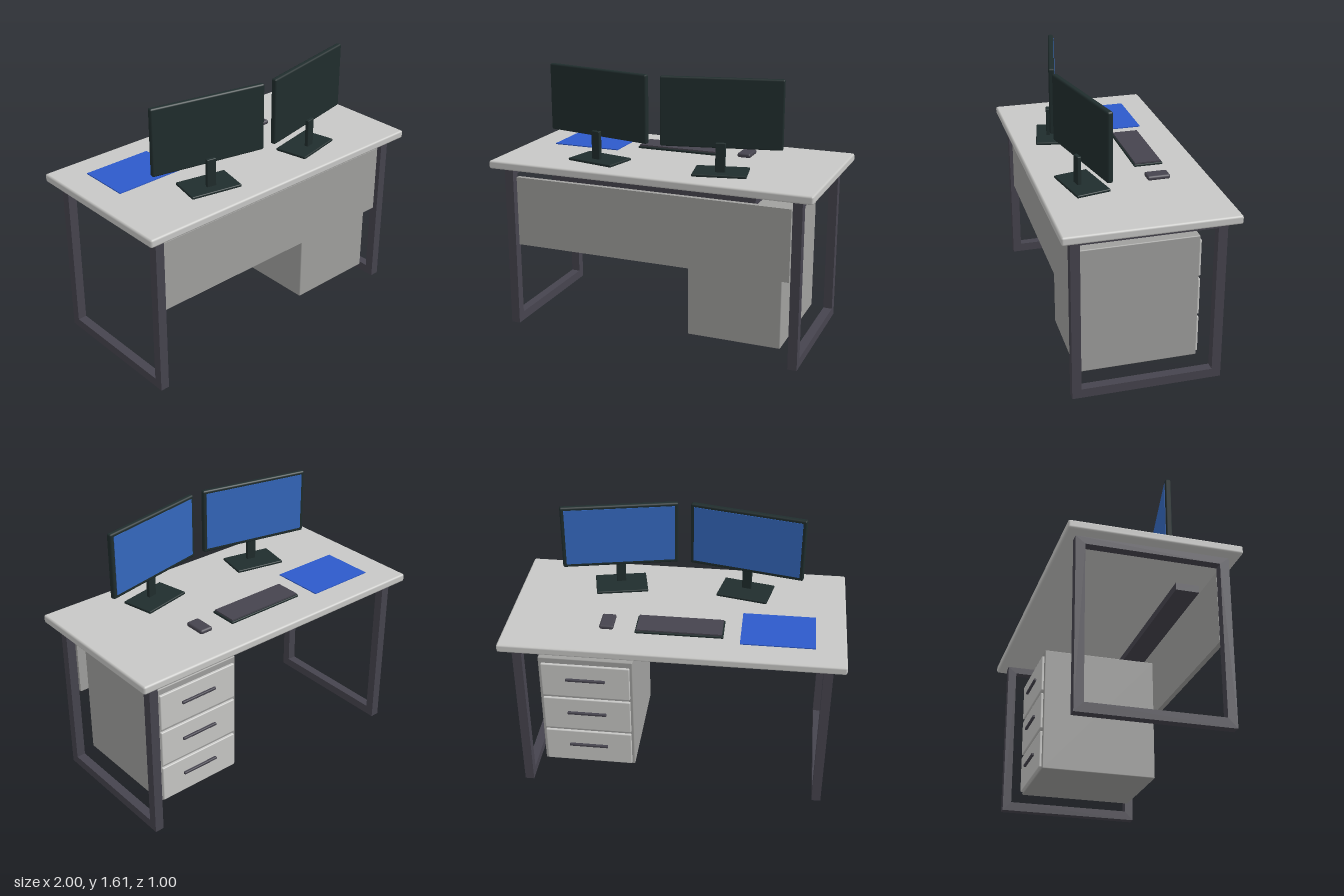
import * as THREE from 'three';
import { RoundedBoxGeometry } from 'three/addons/geometries/RoundedBoxGeometry.js';

const mat = (name, color) => {
  const m = new THREE.MeshStandardMaterial({ color });
  m.name = name;
  return m;
};

export function createModel() {
  const lightGrey = mat('light grey laminate', 0xc8c8c6);
  const midGrey = mat('mid grey panel', 0xa0a09e);
  const metal = mat('dark metal', 0x46444e);
  const black = mat('monitor black', 0x202d2d);
  const screenBlue = mat('screen blue', 0x3468be);
  const matBlue = mat('mat blue', 0x2d5acb);

  const desk = new THREE.Group();
  desk.name = 'officeDesk';

  // Box given by its centre and size, with optional softened edges
  function box(parent, name, material, [x, y, z], [w, h, d], bevel = 0) {
    const geo = bevel ? new RoundedBoxGeometry(w, h, d, 1, bevel) : new THREE.BoxGeometry(w, h, d);
    const mesh = new THREE.Mesh(geo, material);
    mesh.name = name;
    mesh.position.set(x, y, z);
    parent.add(mesh);
    return mesh;
  }

  // Worktop
  box(desk, 'worktop', lightGrey, [0, 1.035, 0], [2, 0.05, 1], 0.012);

  // Closed rectangular leg frames, one at each end
  for (const side of [-1, 1]) {
    const outline = new THREE.Shape();
    outline.moveTo(-0.44, 0).lineTo(0.44, 0).lineTo(0.44, 1.01).lineTo(-0.44, 1.01).closePath();
    const hole = new THREE.Path();
    hole.moveTo(-0.386, 0.056).lineTo(-0.386, 0.967).lineTo(0.386, 0.967).lineTo(0.386, 0.056).closePath();
    outline.holes.push(hole);
    const geo = new THREE.ExtrudeGeometry(outline, { depth: 0.055, bevelEnabled: false });
    geo.translate(0, 0, -0.0275).rotateY(Math.PI / 2);
    const frame = new THREE.Mesh(geo, metal);
    frame.name = side > 0 ? 'leftLegFrame' : 'rightLegFrame';
    frame.position.x = side * 0.9;
    desk.add(frame);
  }

  // Front panel and cable tray under the worktop
  box(desk, 'modestyPanel', midGrey, [0, 0.735, 0.405], [1.72, 0.43, 0.03]);
  box(desk, 'cableTray', metal, [0, 0.953, 0.301], [1.28, 0.044, 0.142]);

  // Drawer cabinet opening to the back
  const cabinet = new THREE.Group();
  cabinet.name = 'drawerCabinet';
  desk.add(cabinet);
  box(cabinet, 'cabinetBody', midGrey, [0.525, 0.48, 0.028], [0.57, 0.78, 0.714], 0.006);
  for (let i = 0; i < 3; i++) {
    const y = 0.218 + i * 0.25;
    box(cabinet, 'drawerFront', lightGrey, [0.525, y, -0.335], [0.535, 0.231, 0.02], 0.006);
    box(cabinet, 'drawerHandle', metal, [0.525, y + 0.014, -0.351], [0.24, 0.016, 0.018], 0.004);
  }

  // Two monitors turned towards the seat
  for (const side of [-1, 1]) {
    const monitor = new THREE.Group();
    monitor.name = side > 0 ? 'leftMonitor' : 'rightMonitor';
    monitor.position.set(side * 0.386, 0, 0.24);
    monitor.rotation.y = side * THREE.MathUtils.degToRad(12);
    desk.add(monitor);
    box(monitor, 'monitorCase', black, [0, 1.412, 0], [0.708, 0.405, 0.034], 0.01);
    box(monitor, 'screen', screenBlue, [0, 1.414, -0.018], [0.664, 0.363, 0.004]);
    box(monitor, 'monitorNeck', black, [0, 1.158, 0.028], [0.058, 0.174, 0.024], 0.004);
    box(monitor, 'monitorBase', black, [0, 1.067, 0], [0.316, 0.016, 0.207], 0.005);
  }

  // Keyboard, mouse and desk mat
  box(desk, 'keyboardBase', black, [-0.031, 1.066, -0.203], [0.517, 0.014, 0.174], 0.004);
  box(desk, 'keyboardKeys', metal, [-0.031, 1.076, -0.203], [0.5, 0.012, 0.158]);
  box(desk, 'mouse', metal, [0.398, 1.072, -0.203], [0.084, 0.027, 0.136], 0.011);
  box(desk, 'deskMat', matBlue, [-0.604, 1.063, -0.174], [0.432, 0.006, 0.321]);

  return desk;
}
